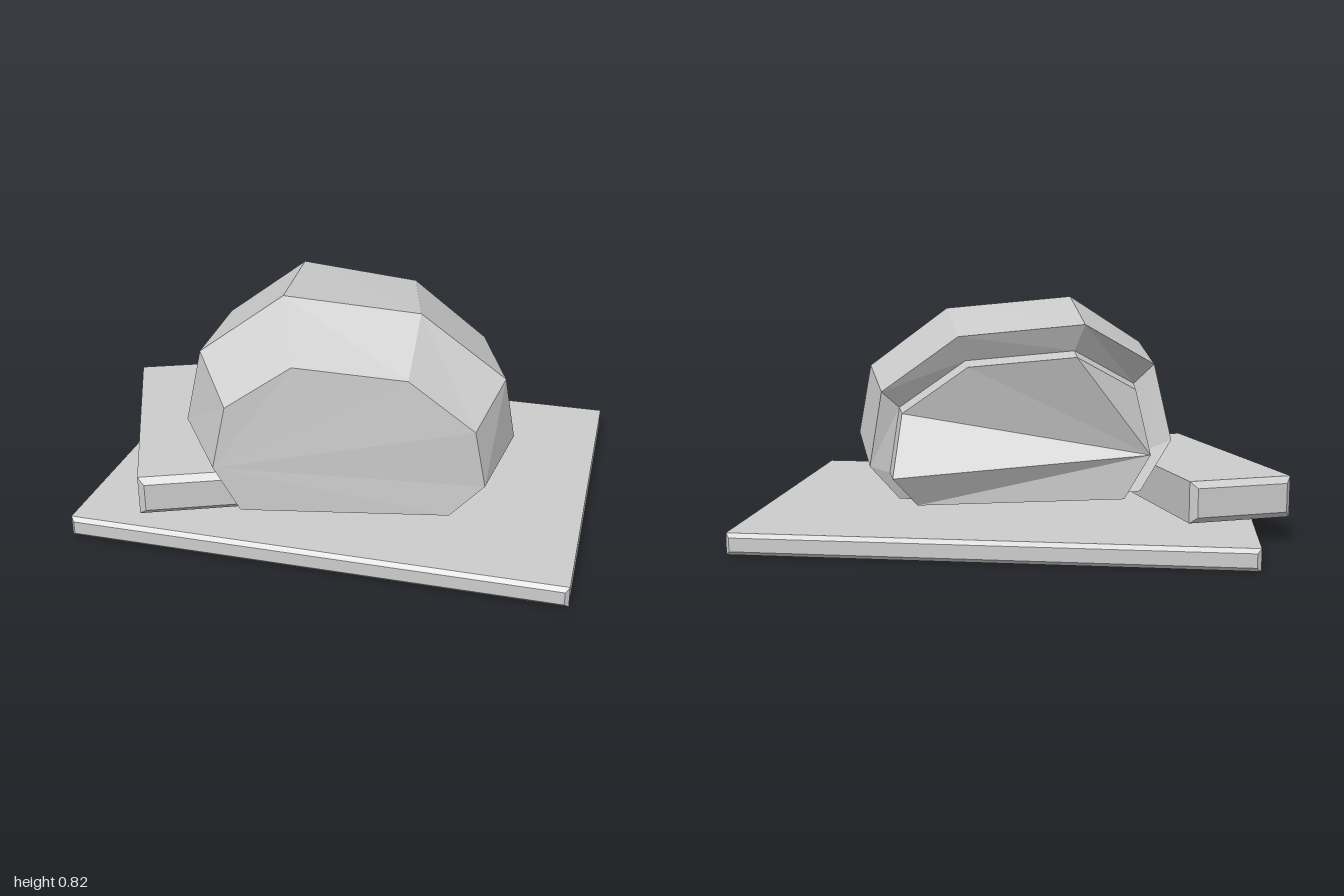
import * as THREE from 'three';

const grey = new THREE.MeshStandardMaterial({ color: 0xcccccc, flatShading: true });
grey.name = 'stone grey';

// Rectangular bar along z with chamfered ends, resting on its own y = 0
function chamferedBar(name, width, height, length, bevel) {
  const shape = new THREE.Shape([
    new THREE.Vector2(-width / 2, 0), new THREE.Vector2(width / 2, 0),
    new THREE.Vector2(width / 2, height), new THREE.Vector2(-width / 2, height),
  ]);
  const geometry = new THREE.ExtrudeGeometry(shape, {
    depth: length - 2 * bevel, bevelThickness: bevel, bevelSize: bevel,
    bevelOffset: -bevel, bevelSegments: 1,
  });
  geometry.translate(0, 0, bevel - length / 2);
  const mesh = new THREE.Mesh(geometry, grey);
  mesh.name = name;
  return mesh;
}

// Closed loft through rings listed from front to back, clockwise seen from +z
function loft(rings) {
  const n = rings[0].length, index = [];
  for (let r = 0; r < rings.length - 1; r++) {
    for (let i = 0; i < n; i++) {
      const a = r * n + i, b = r * n + (i + 1) % n;
      index.push(a, b, a + n, b, b + n, a + n);
    }
  }
  const last = (rings.length - 1) * n;
  for (let i = 1; i < n - 1; i++) {
    index.push(0, i + 1, i, last, last + i, last + i + 1);
  }
  const geometry = new THREE.BufferGeometry();
  geometry.setAttribute('position', new THREE.Float32BufferAttribute(rings.flat(2), 3));
  geometry.setIndex(index);
  const flat = geometry.toNonIndexed();
  flat.computeVertexNormals();
  return flat;
}

export function createModel() {
  const model = new THREE.Group();
  model.name = 'boulderOnSlab';

  // Ground slab, turned slightly
  const slab = chamferedBar('baseSlab', 1.76, 0.075, 1.365, 0.014);
  slab.rotation.y = -0.206;
  model.add(slab);

  // Low block beside the boulder
  const block = chamferedBar('sideBlock', 0.377, 0.145, 1.0, 0.022);
  block.position.set(-0.655, 0.09, -0.037);
  block.rotation.y = 0.187;
  model.add(block);

  // Faceted boulder: front face, widest ring, back rim
  const front = [
    [-0.48, 0.29, 0.485], [-0.43, 0.52, 0.485], [-0.2, 0.67, 0.475], [0.19, 0.63, 0.48],
    [0.42, 0.45, 0.49], [0.46, 0.24, 0.485], [0.34, 0.125, 0.49], [-0.39, 0.125, 0.485],
  ];
  const wide = [
    [-0.605, 0.36, 0.25], [-0.54, 0.64, 0.28], [-0.25, 0.825, 0.21], [0.23, 0.78, 0.245],
    [0.53, 0.555, 0.28], [0.575, 0.3, 0.215], [0.44, 0.155, 0.25], [-0.48, 0.17, 0.25],
  ];
  const rim = [
    [-0.55, 0.335, -0.285], [-0.5, 0.6, -0.21], [-0.225, 0.755, -0.36], [0.21, 0.71, -0.285],
    [0.48, 0.51, -0.21], [0.52, 0.27, -0.36], [0.42, 0.14, -0.285], [-0.44, 0.15, -0.285],
  ];
  // Groove inside the rim, then the plug that stands out at the back
  const groove = rim.map(([x, y, z]) => [x * 0.87, y * 0.87 + 0.003, z + 0.05]);
  const plug = rim.map(([x, y, z]) => [x * 0.85, y * 0.85 + 0.004, z - 0.045]);

  const boulder = new THREE.Mesh(loft([front, wide, rim, groove, plug]), grey);
  boulder.name = 'boulder';
  model.add(boulder);
  return model;
}
